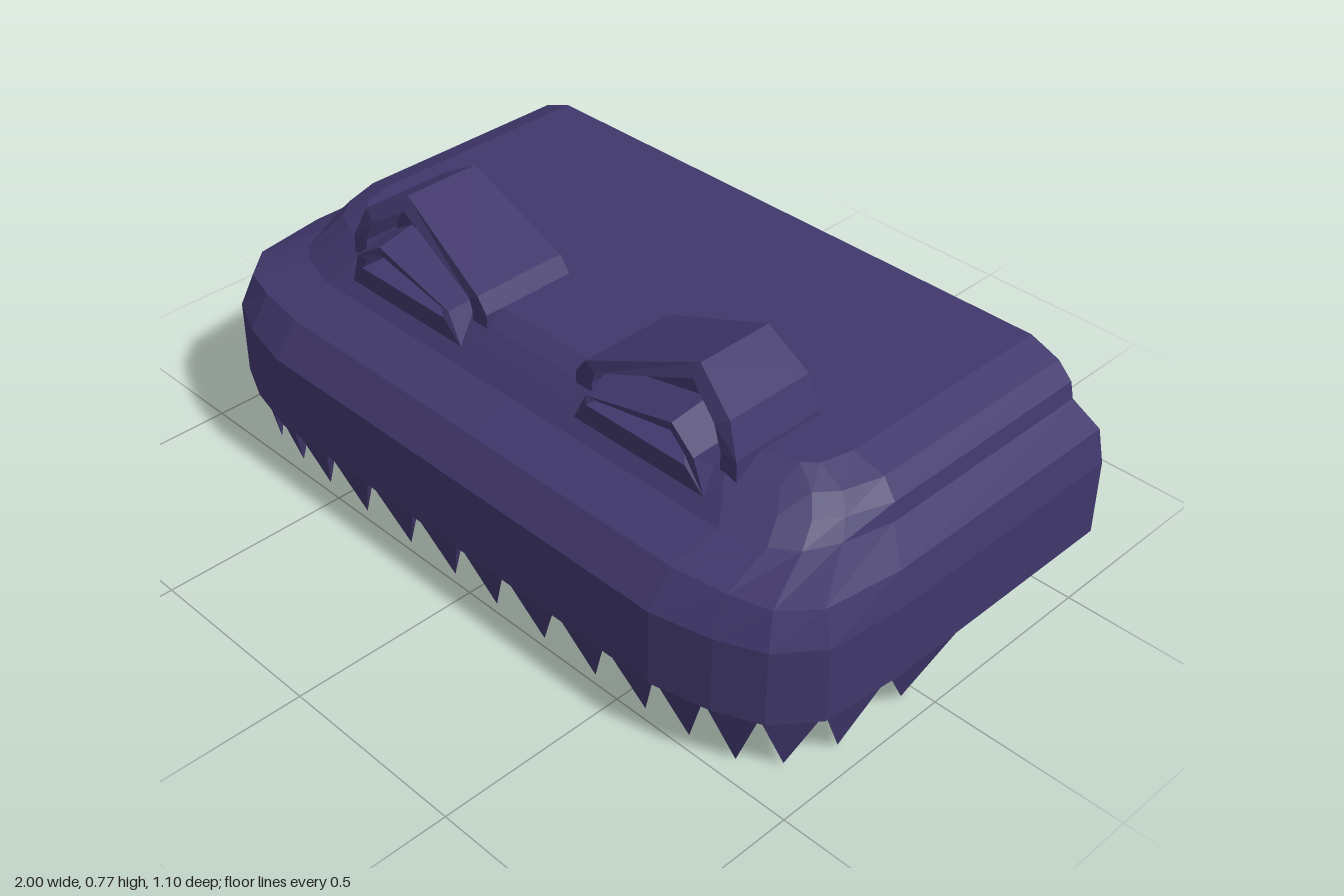
import * as THREE from 'three';

const material = new THREE.MeshStandardMaterial({
  color: 0x40376b, flatShading: true, side: THREE.DoubleSide,
});

// Flat-shaded mesh from a flat list of triangle corners
function facets(name, corners) {
  const geometry = new THREE.BufferGeometry();
  geometry.setAttribute('position', new THREE.Float32BufferAttribute(corners.flat(), 3));
  geometry.computeVertexNormals();
  const mesh = new THREE.Mesh(geometry, material);
  mesh.name = name;
  return mesh;
}

// Fan that closes a ring around its centre
function cap(ring) {
  const n = ring.length;
  const centre = [0, 1, 2].map(k => ring.reduce((sum, p) => sum + p[k], 0) / n);
  return ring.flatMap((p, i) => [centre, p, ring[(i + 1) % n]]);
}

// Skin between successive rings; closed rings wrap round
function loft(rings, closed) {
  const out = [];
  for (let r = 0; r < rings.length - 1; r++) {
    const a = rings[r], b = rings[r + 1], n = a.length;
    for (let i = 0; i < (closed ? n : n - 1); i++) {
      const j = (i + 1) % n;
      out.push(a[i], a[j], b[j], a[i], b[j], b[i]);
    }
  }
  return out;
}

// Horizontal U-shaped ring from one half: rear corner to front centre
function bodyRing(y, half) {
  const left = half.map(([x, z]) => [x, y, z]);
  const right = half.map(([x, z]) => [-x, y, z]);
  return [...right, ...left.reverse().slice(1)];
}

const rim = [[1, -0.55], [1, 0.15], [0.98, 0.36], [0.9, 0.46], [0.79, 0.51], [0.64, 0.545], [0, 0.545]];

function createBody() {
  const rings = [
    bodyRing(0.18, rim),
    bodyRing(0.38, rim),
    bodyRing(0.465, [[0.98, -0.55], [0.98, 0.15], [0.95, 0.35], [0.88, 0.43], [0.78, 0.46], [0.64, 0.48], [0, 0.48]]),
    bodyRing(0.508, [[0.9, -0.55], [0.9, 0.08], [0.87, 0.21], [0.83, 0.29], [0.77, 0.33], [0.66, 0.36], [0, 0.36]]),
    bodyRing(0.55, [[0.89, -0.55], [0.89, 0.07], [0.85, 0.18], [0.81, 0.24], [0.75, 0.28], [0.63, 0.32], [0, 0.32]]),
    bodyRing(0.59, [[0.85, -0.55], [0.85, 0.06], [0.82, 0.16], [0.78, 0.21], [0.72, 0.24], [0.6, 0.28], [0, 0.28]]),
    bodyRing(0.62, [[0.77, -0.55], [0.77, 0.07], [0.75, 0.15], [0.72, 0.18], [0.66, 0.2], [0.55, 0.24], [0, 0.235]]),
  ];
  const body = new THREE.Group();
  body.name = 'upperJaw';
  // The shell stays open at the rear
  body.add(
    facets('jawShell', loft(rings, false)),
    facets('jawTop', cap(rings.at(-1))),
    facets('jawFloor', cap([...rings[0]].reverse())),
  );
  return body;
}

// Brow hood and recessed eye socket on the +x side
function createEye() {
  const frontZ = y => Math.min(0.285, 0.235 + (0.78 - y) * 0.5);
  const outline = [[0.64, 0.56], [0.635, 0.63], [0.6, 0.71], [0.48, 0.78], [0.18, 0.66], [0.15, 0.62], [0.15, 0.56]];
  const opening = [[0.59, 0.56], [0.59, 0.63], [0.565, 0.69], [0.475, 0.745], [0.21, 0.64], [0.2, 0.61], [0.2, 0.56]];
  const hoodRings = [
    outline.map(([x, y]) => [x, y, 0.025]),
    outline.map(([x, y]) => [x, y, frontZ(y)]),
    opening.map(([x, y]) => [x, y, frontZ(y)]),
    opening.map(([x, y]) => [x, y, 0.19]),
  ];
  const hood = [...cap([...hoodRings[0]].reverse()), ...loft(hoodRings, true), ...cap(hoodRings[3])];

  const inner = [[0.54, 0.598, 0.34], [0.53, 0.62, 0.332], [0.48, 0.65, 0.323], [0.26, 0.615, 0.33], [0.24, 0.598, 0.34]];
  const socketRings = [
    [[0.59, 0.535, 0.22], [0.57, 0.64, 0.22], [0.49, 0.69, 0.22], [0.22, 0.63, 0.22], [0.18, 0.535, 0.22]],
    [[0.59, 0.535, 0.332], [0.56, 0.625, 0.335], [0.485, 0.673, 0.325], [0.23, 0.615, 0.332], [0.19, 0.535, 0.332]],
    inner,
    inner.map(([x, y]) => [x, y, 0.25]),
  ];
  const eye = new THREE.Group();
  eye.add(
    facets('browHood', hood),
    facets('eyeSocket', [...loft(socketRings, true), ...cap(socketRings[3])]),
  );
  return eye;
}

// Teeth on the +x half: pyramids between neighbouring rim points
function createTeeth() {
  const roots = [[0, 0.53], [0.16, 0.53], [0.33, 0.53], [0.49, 0.53], [0.635, 0.525],
    [0.76, 0.5], [0.88, 0.455], [0.965, 0.345], [0.985, 0.16], [0.985, -0.135]];
  const tips = [[0.075, 0.48], [0.24, 0.48], [0.41, 0.48], [0.565, 0.475], [0.69, 0.465],
    [0.81, 0.445], [0.89, 0.38], [0.935, 0.255], [0.935, 0.04]];
  const teeth = new THREE.Group();
  tips.forEach(([tx, tz], i) => {
    const [ax, az] = roots[i], [bx, bz] = roots[i + 1];
    const mx = (ax + bx) / 2, mz = (az + bz) / 2;
    const a = [ax, 0.18, az], b = [bx, 0.18, bz], tip = [tx, 0.005, tz];
    const back = [mx + (tx - mx) * 2, 0.18, mz + (tz - mz) * 2];
    teeth.add(facets('tooth', [a, tip, b, b, tip, back, back, tip, a]));
  });
  return teeth;
}

export function createModel() {
  const model = new THREE.Group();
  model.name = 'fangedHead';
  model.add(createBody());
  for (const side of [1, -1]) {
    const label = side > 0 ? 'left' : 'right';
    const eye = createEye(), teeth = createTeeth();
    eye.name = label + 'Eye';
    teeth.name = label + 'Teeth';
    eye.scale.x = teeth.scale.x = side;
    model.add(eye, teeth);
  }
  return model;
}
